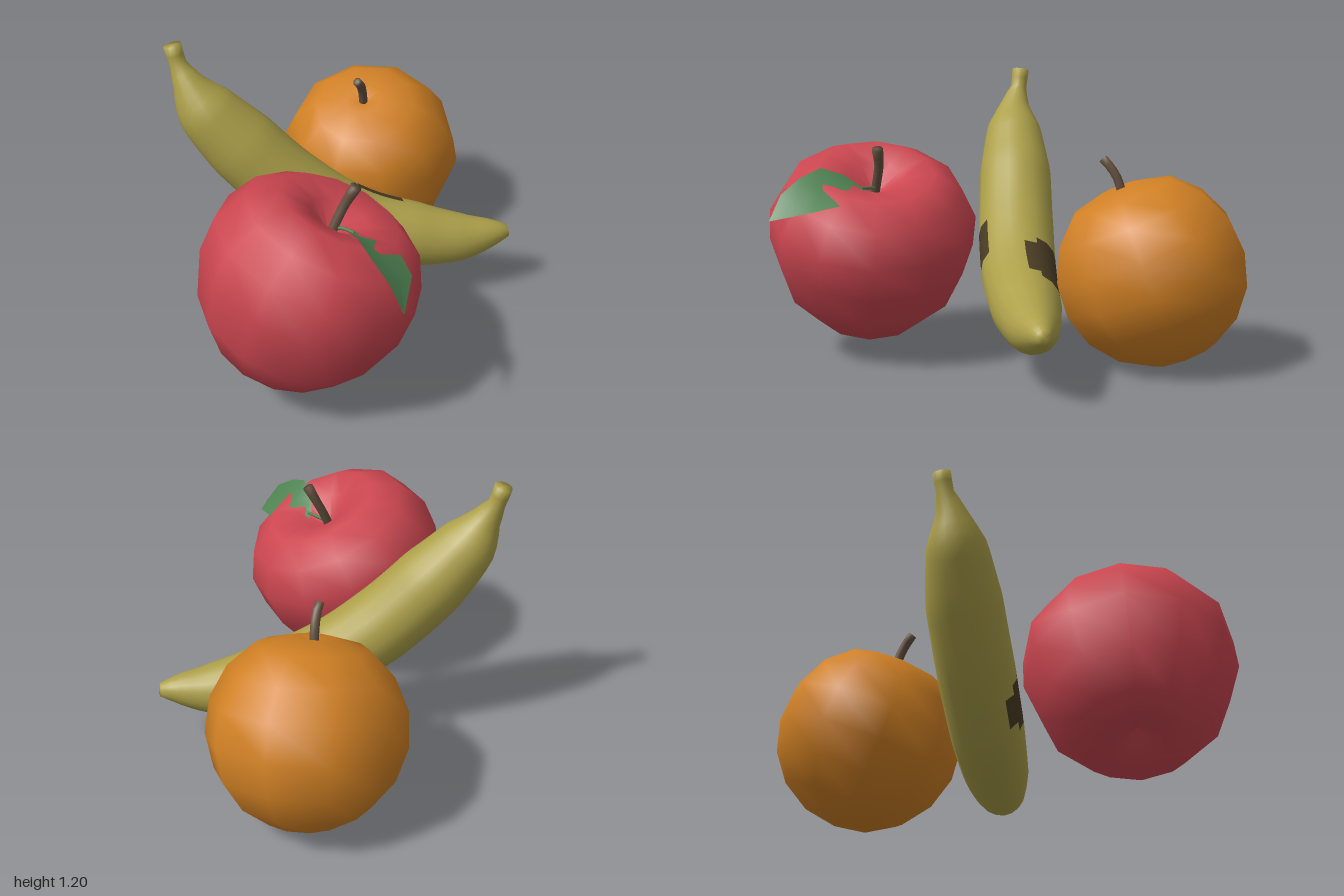
import * as THREE from 'three';

const V = (p) => new THREE.Vector3(...p);

function material(name, color, side = THREE.FrontSide) {
  const m = new THREE.MeshStandardMaterial({ color, side });
  m.name = name;
  return m;
}

function mesh(name, geometry, mat) {
  const m = new THREE.Mesh(geometry, mat);
  m.name = name;
  return m;
}

// Closed round sweep along a curve with changing radius; faces inside a spot use material 1
function sweep(points, radii, steps, sides, spots = []) {
  const curve = new THREE.CatmullRomCurve3(points.map(V));
  const frames = curve.computeFrenetFrames(steps);
  const pos = [];
  const ring = (s, scale) => {
    const u = s / steps;
    const k = curve.getUtoTmapping(u) * (radii.length - 1);
    const i = Math.min(Math.floor(k), radii.length - 2);
    const r = scale * THREE.MathUtils.lerp(radii[i], radii[i + 1], k - i);
    const c = curve.getPointAt(u);
    for (let j = 0; j < sides; j++) {
      const a = (j / sides) * Math.PI * 2;
      const p = c.clone()
        .addScaledVector(frames.normals[s], -Math.cos(a) * r)
        .addScaledVector(frames.binormals[s], Math.sin(a) * r);
      pos.push(p.x, p.y, p.z);
    }
  };
  ring(0, 0);
  for (let s = 0; s <= steps; s++) ring(s, 1);
  ring(steps, 0);

  const plain = [], marked = [];
  const at = (i) => V(pos.slice(i * 3, i * 3 + 3));
  for (let s = 0; s < steps + 2; s++) {
    for (let j = 0; j < sides; j++) {
      const n = (j + 1) % sides;
      const a = s * sides + j, b = a + sides;
      const d = s * sides + n, c = d + sides;
      const mid = at(a).add(at(c)).multiplyScalar(0.5);
      const hit = spots.some((q) => mid.distanceTo(V(q.at)) < q.radius);
      (hit ? marked : plain).push(a, b, d, b, c, d);
    }
  }
  const g = new THREE.BufferGeometry();
  g.setAttribute('position', new THREE.Float32BufferAttribute(pos, 3));
  g.setIndex([...plain, ...marked]);
  g.addGroup(0, plain.length, 0);
  if (marked.length) g.addGroup(plain.length, marked.length, 1);
  g.computeVertexNormals();
  return g;
}

// Turned fruit body, tilted so its core follows the given axis
function fruitBody(name, profile, sides, mat, centre, axis) {
  const g = new THREE.LatheGeometry(profile.map(([r, y]) => new THREE.Vector2(r, y)), sides);
  const m = mesh(name, g, mat);
  m.position.set(...centre);
  m.quaternion.setFromUnitVectors(new THREE.Vector3(0, 1, 0), V(axis).normalize());
  return m;
}

// Leaf built from cross-sections: far edge, midrib, near edge
function leafGeometry() {
  const rows = [
    [[0.33, 0.74, 0.49], [0.335, 0.75, 0.505], [0.335, 0.76, 0.52]],
    [[0.37, 0.73, 0.455], [0.37, 0.765, 0.53], [0.36, 0.81, 0.59]],
    [[0.43, 0.725, 0.45], [0.44, 0.775, 0.56], [0.43, 0.843, 0.655]],
    [[0.51, 0.715, 0.475], [0.52, 0.755, 0.61], [0.51, 0.81, 0.705]],
    [[0.62, 0.69, 0.58], [0.61, 0.715, 0.67], [0.60, 0.75, 0.742]],
    [[0.67, 0.65, 0.755], [0.67, 0.65, 0.756], [0.668, 0.65, 0.757]],
  ];
  const index = [];
  for (let r = 0; r < rows.length - 1; r++) {
    for (let c = 0; c < 2; c++) {
      const a = r * 3 + c;
      index.push(a, a + 1, a + 3, a + 1, a + 4, a + 3);
    }
  }
  const g = new THREE.BufferGeometry();
  g.setAttribute('position', new THREE.Float32BufferAttribute(rows.flat(2), 3));
  g.setIndex(index);
  g.computeVertexNormals();
  return g;
}

export function createModel() {
  const red = material('apple red', 0xcb4650);
  const orangeSkin = material('orange peel', 0xd08024);
  const yellow = material('banana yellow', 0xada04a);
  const bruise = material('bruise brown', 0x4a3d24);
  const wood = material('stem brown', 0x655140);
  const green = material('leaf green', 0x4f8252, THREE.DoubleSide);

  // Apple with dimples at both ends, stem and leaf
  const apple = new THREE.Group();
  apple.name = 'apple';
  const appleProfile = [
    [0, -0.3], [0.12, -0.375], [0.25, -0.345], [0.375, -0.2], [0.44, 0],
    [0.44, 0.15], [0.37, 0.285], [0.25, 0.36], [0.12, 0.33], [0, 0.24],
  ];
  apple.add(
    fruitBody('appleBody', appleProfile, 12, red, [0.16, 0.49, 0.57], [0.32, 0.92, -0.25]),
    mesh('appleStem', sweep(
      [[0.235, 0.69, 0.515], [0.26, 0.78, 0.485], [0.285, 0.85, 0.46], [0.32, 0.92, 0.447]],
      [0.02, 0.02, 0.02, 0.024], 6, 8), wood),
    mesh('leafStalk', sweep(
      [[0.25, 0.74, 0.495], [0.29, 0.75, 0.495], [0.345, 0.755, 0.51]],
      [0.008, 0.007, 0.006], 4, 6), green),
    mesh('leaf', leafGeometry(), green),
  );

  // Orange: near sphere with a shallow dent at the stem
  const orange = new THREE.Group();
  orange.name = 'orange';
  const orangeProfile = [];
  for (let i = 0; i < 8; i++) {
    const a = (i / 8.6) * Math.PI;
    orangeProfile.push([0.41 * Math.sin(a), -0.405 * Math.cos(a)]);
  }
  orangeProfile.push([0.08, 0.375], [0, 0.35]);
  orange.add(
    fruitBody('orangeBody', orangeProfile, 10, orangeSkin, [-0.12, 0.41, -0.61], [0.03, 0.35, 0.14]),
    mesh('orangeStem', sweep(
      [[-0.1, 0.7, -0.49], [-0.095, 0.79, -0.465], [-0.09, 0.84, -0.435], [-0.09, 0.875, -0.4]],
      [0.02, 0.02, 0.02, 0.02], 6, 8), wood),
  );

  // Banana with bruises where it touches the other fruit
  const bananaPath = [
    [-0.64, 1.2, 0.21], [-0.617, 1.12, 0.21], [-0.575, 1.04, 0.21], [-0.515, 0.93, 0.19],
    [-0.38, 0.755, 0.125], [-0.17, 0.53, 0.03], [0.05, 0.37, -0.08], [0.28, 0.295, -0.21],
    [0.46, 0.27, -0.315], [0.58, 0.283, -0.39], [0.645, 0.29, -0.435],
  ];
  const bananaRadii = [0.038, 0.036, 0.066, 0.125, 0.16, 0.165, 0.16, 0.145, 0.11, 0.065, 0.028];
  const spots = [
    { at: [0.01, 0.45, 0.13], radius: 0.12 },
    { at: [0.08, 0.42, -0.24], radius: 0.15 },
  ];
  const banana = mesh('banana', sweep(bananaPath, bananaRadii, 44, 18, spots), [yellow, bruise]);

  const model = new THREE.Group();
  model.name = 'fruitTrio';
  model.add(apple, orange, banana);
  return model;
}
